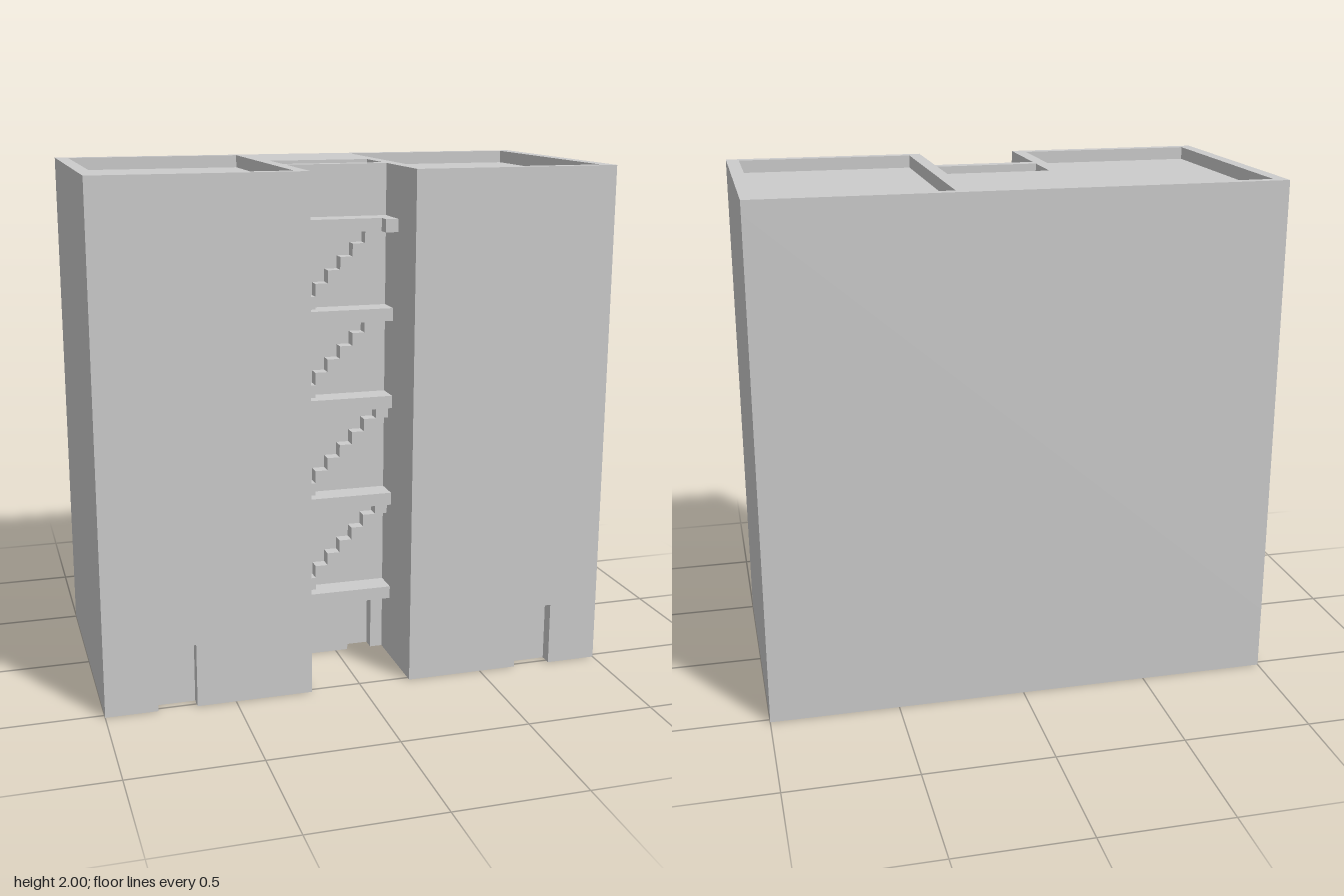
import * as THREE from 'three';

const material = new THREE.MeshStandardMaterial({ color: 0xcccccc, flatShading: true });

const FRONT = 0.52, BACK = -0.52; // facade planes
const WELL = 0.17;                // back wall of the stair recess
const DOOR_DEPTH = 0.05;

// Vertical prism from a plan outline of [x, z] points, with optional rectangular holes
function prism(name, outline, y0, y1, holes = []) {
  const toV = ([x, z]) => new THREE.Vector2(x, -z);
  const shape = new THREE.Shape(outline.map(toV));
  for (const [x0, x1, z0, z1] of holes) {
    shape.holes.push(new THREE.Path([[x0, z0], [x1, z0], [x1, z1], [x0, z1]].map(toV)));
  }
  const geo = new THREE.ExtrudeGeometry(shape, { depth: y1 - y0, bevelEnabled: false });
  geo.rotateX(-Math.PI / 2).translate(0, y0, 0);
  const mesh = new THREE.Mesh(geo, material);
  mesh.name = name;
  return mesh;
}

// Box given by its extents
function block(name, x0, x1, y0, y1, z0, z1) {
  const mesh = new THREE.Mesh(new THREE.BoxGeometry(x1 - x0, y1 - y0, z1 - z0), material);
  mesh.position.set((x0 + x1) / 2, (y0 + y1) / 2, (z0 + z1) / 2);
  mesh.name = name;
  return mesh;
}

// Doorway notch cut into a wall at depth z, walking left to right
const notch = (x0, x1, z) =>
  [[x0, z], [x0, z - DOOR_DEPTH], [x1, z - DOOR_DEPTH], [x1, z]];

// U-shaped plan of the building, with or without doorways
function plan(doors) {
  return [
    [-1, BACK], [-1, FRONT],
    ...(doors ? notch(-0.8, -0.65, FRONT) : []),
    [-0.2, FRONT], [-0.2, WELL],
    ...(doors ? notch(0.05, 0.15, WELL) : []),
    [0.2, WELL], [0.2, FRONT],
    ...(doors ? notch(0.65, 0.8, FRONT) : []),
    [1, FRONT], [1, BACK],
  ];
}

export function createModel() {
  const model = new THREE.Group();
  model.name = 'apartmentBuilding';

  // Ground floor with doorways, upper floors, and roof rim with sunken areas
  model.add(prism('groundFloor', plan(true), 0, 0.25));
  model.add(prism('upperFloors', plan(false), 0.25, 1.95));
  model.add(prism('roofParapet', plan(false), 1.95, 2, [
    [-0.95, -0.25, -0.48, 0.475],
    [0.25, 0.95, -0.48, 0.475],
    [-0.2, 0.2, -0.08, 0.12],
  ]));

  // Landings across the stair recess
  const landings = [0.25, 0.65, 1.05, 1.4, 1.75];
  for (const y of landings) {
    model.add(block('landing', -0.2, 0.2, y, y + 0.05, WELL, 0.27));
  }

  // Flights of block steps climbing along the back wall
  const s = 0.05;
  const stepCounts = [7, 7, 6, 6];
  stepCounts.forEach((count, f) => {
    const flight = new THREE.Group();
    flight.name = 'stairFlight';
    for (let i = 0; i < count; i++) {
      const x = -0.15 + i * s, y = landings[f] + s + i * s;
      flight.add(block('step', x, x + s, y, y + s, WELL, WELL + s));
    }
    model.add(flight);
  });

  // Last step stands in front of the top landing
  model.add(block('topStep', 0.15, 0.2, 1.75, 1.8, 0.27, 0.32));

  return model;
}
